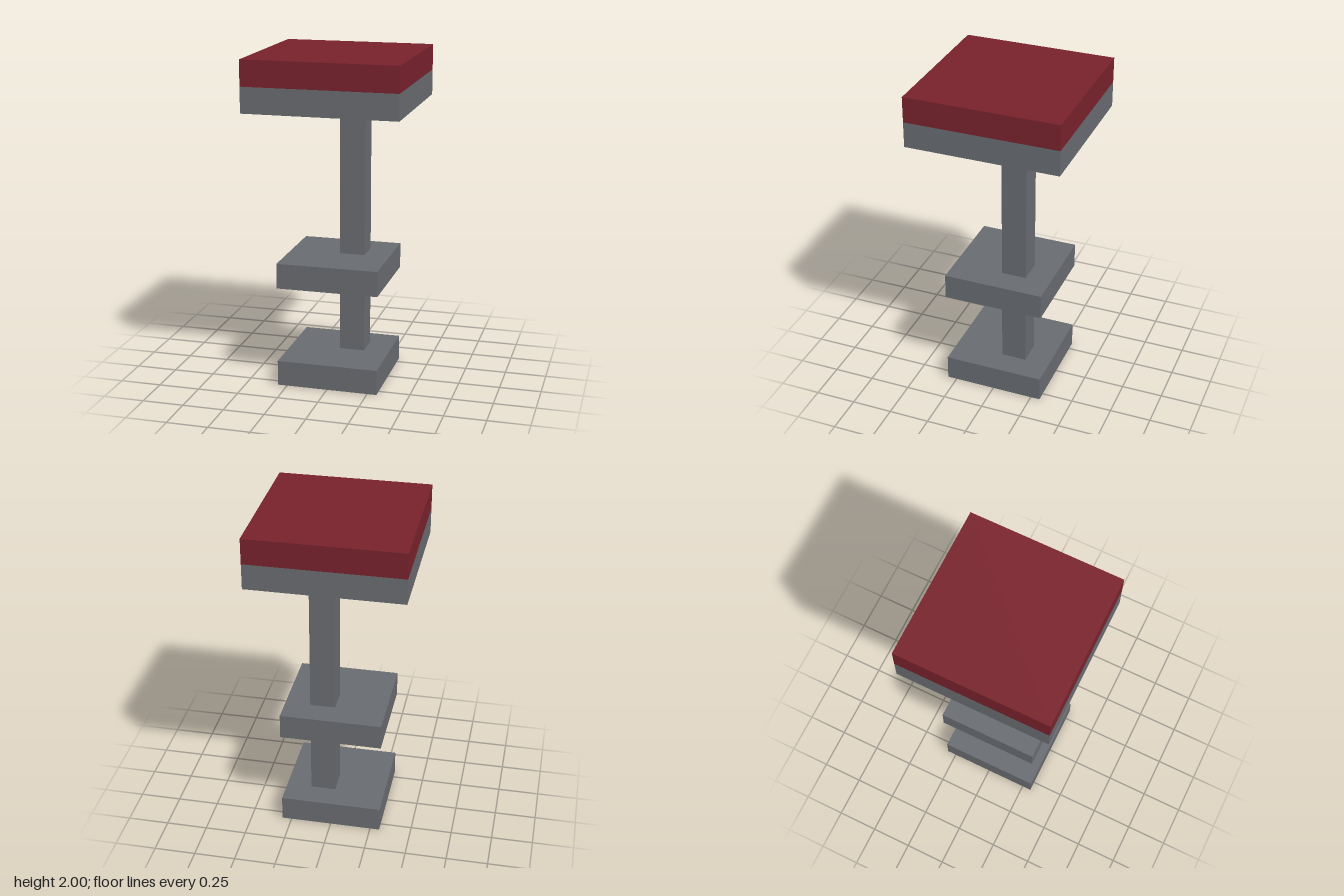
import * as THREE from 'three';

const U = 2 / 13; // one grid unit: the stool is 13 units tall

export function createModel() {
  const group = new THREE.Group();
  const grey = new THREE.MeshStandardMaterial({ color: 0x686b70 });
  grey.name = 'grey metal';
  const red = new THREE.MeshStandardMaterial({ color: 0x78222c });
  red.name = 'dark red cushion';

  // Square block, sizes in grid units, standing on height y
  const block = (name, width, y, height, material, x = 0, z = 0) => {
    const mesh = new THREE.Mesh(new THREE.BoxGeometry(width * U, height * U, width * U), material);
    mesh.position.set(x * U, (y + height / 2) * U, z * U);
    mesh.name = name;
    group.add(mesh);
  };

  // Plates
  block('base', 4, 0, 1, grey);
  block('footrest', 4, 4, 1, grey);
  block('seatFrame', 6, 11, 1, grey);
  block('seatCushion', 6, 12, 1, red);

  // Post sections, half a unit off centre towards the left and back
  block('lowerPost', 1, 1, 3, grey, 0.5, -0.5);
  block('upperPost', 1, 5, 6, grey, 0.5, -0.5);

  return group;
}
